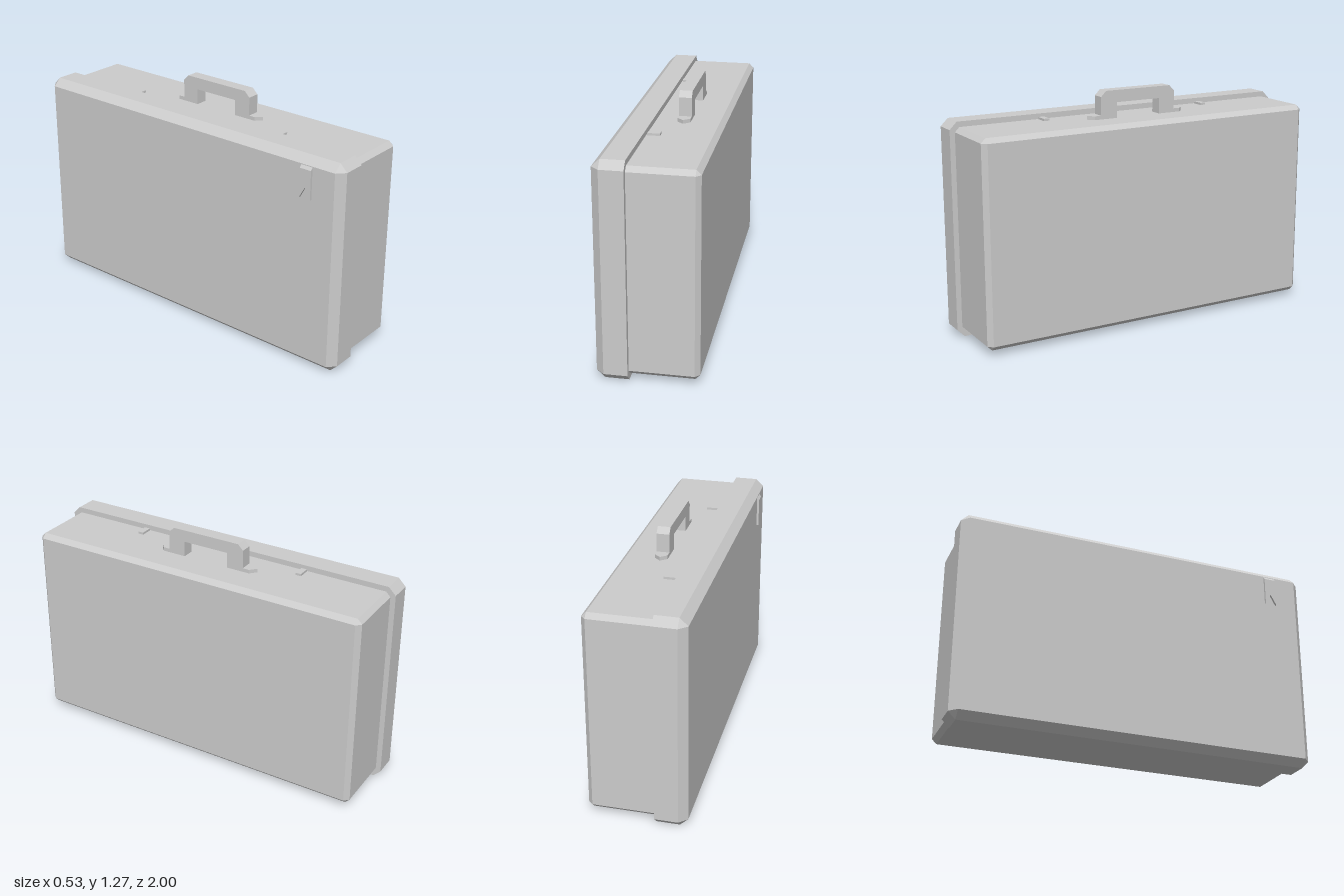
import * as THREE from 'three';
import { ConvexGeometry } from 'three/addons/geometries/ConvexGeometry.js';

export function createModel() {
  const group = new THREE.Group();
  const grey = new THREE.MeshStandardMaterial({ color: 0xcccccc });
  grey.name = 'plain grey';

  const add = (name, geometry) => {
    const mesh = new THREE.Mesh(geometry, grey);
    mesh.name = name;
    group.add(mesh);
    return mesh;
  };

  // Half shell: octagonal rim, octagonal shoulder, then a rectangular outer face
  const shell = (xRim, xShoulder, xFace, y0, y1, hz, c) => {
    const points = [];
    for (const s of [-1, 1]) {
      for (const [y, yIn] of [[y0, y0 + c], [y1, y1 - c]]) {
        for (const x of [xRim, xShoulder]) {
          points.push(new THREE.Vector3(x, y, s * (hz - c)));
          points.push(new THREE.Vector3(x, yIn, s * hz));
        }
        points.push(new THREE.Vector3(xFace, yIn, s * (hz - c)));
      }
    }
    return new ConvexGeometry(points);
  };

  add('caseBody', shell(-0.1, 0.24, 0.265, 0.03, 1.126, 0.972, 0.025));
  add('caseLid', shell(-0.09, -0.212, -0.255, 0, 1.155, 1, 0.04));

  // Extrude a (z, y) outline across x, from xMin to xMax
  const slab = (outline, xMin, xMax) => {
    const shape = new THREE.Shape(outline.map(([z, y]) => new THREE.Vector2(z, y)));
    const g = new THREE.ExtrudeGeometry(shape, { depth: xMax - xMin, bevelEnabled: false });
    return g.rotateY(-Math.PI / 2).translate(xMax, 0, 0);
  };

  // Carrying handle
  add('handleGrip', slab([
    [-0.225, 1.12], [-0.225, 1.245], [-0.195, 1.275], [0.195, 1.275],
    [0.225, 1.245], [0.225, 1.12], [0.13, 1.12], [0.13, 1.21],
    [-0.13, 1.21], [-0.13, 1.12],
  ], 0.023, 0.091));

  for (const s of [-1, 1]) {
    const side = s > 0 ? 'Front' : 'Back';

    // Pointed mounting plate under each handle leg
    const foot = new THREE.Shape([
      [-0.034, 0.132], [0.034, 0.132], [0.034, 0.262], [0, 0.292], [-0.034, 0.262],
    ].map(([x, z]) => new THREE.Vector2(x, z)));
    const footGeometry = new THREE.ExtrudeGeometry(foot, { depth: 0.027, bevelEnabled: false });
    footGeometry.rotateX(-Math.PI / 2);
    if (s > 0) footGeometry.rotateY(Math.PI);
    add('handleFoot' + side, footGeometry.translate(0.057, 1.119, 0));

    // Latch bridging lid and body
    add('latch' + side, new THREE.BoxGeometry(0.065, 0.02, 0.032))
      .position.set(-0.052, 1.128, s * 0.489);
  }

  // Hanging tag with a notched tail and a sloping top
  const tag = slab([
    [0.765, 0.94], [0.798, 1.0], [0.831, 0.94], [0.831, 1.112], [0.765, 1.112],
  ], -0.267, -0.254);
  const p = tag.attributes.position;
  for (let i = 0; i < p.count; i++) {
    if (p.getY(i) > 1.1 && p.getX(i) < -0.26) p.setY(i, 1.096);
  }
  tag.computeVertexNormals();
  add('tag', tag);

  return group;
}
